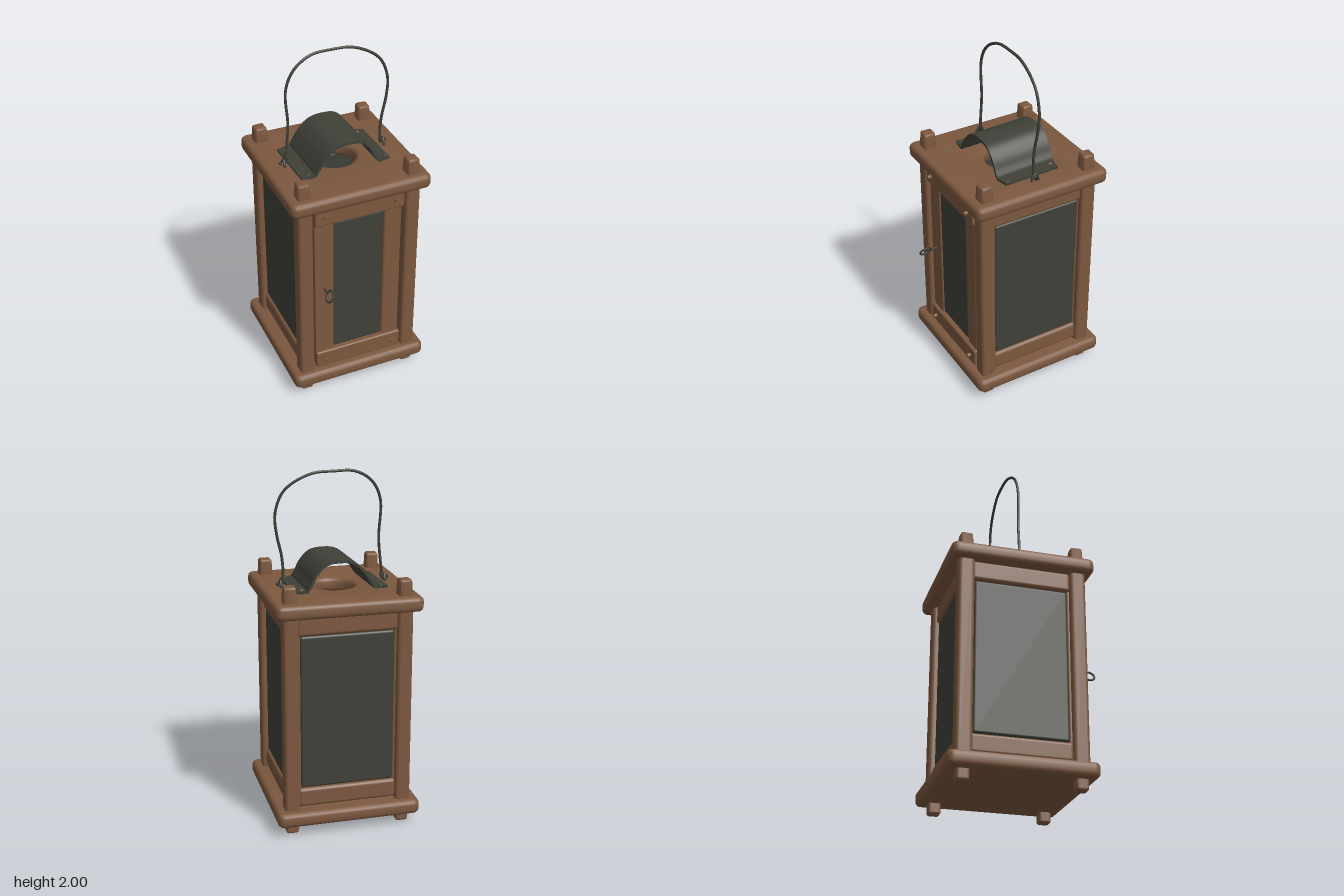
import * as THREE from 'three';
import { toCreasedNormals } from 'three/addons/utils/BufferGeometryUtils.js';
import { RoundedBoxGeometry } from 'three/addons/geometries/RoundedBoxGeometry.js';

const CZ = -0.027; // centre of the lantern body in z

export function createModel() {
  const root = new THREE.Group();
  const wood = new THREE.MeshStandardMaterial({ name: 'wood', color: 0x7c583f });
  const iron = new THREE.MeshStandardMaterial({ name: 'darkIron', color: 0x3f4038 });

  function add(name, geo, mat, x = 0, y = 0, z = 0, parent = root) {
    const m = new THREE.Mesh(geo, mat);
    m.name = name;
    m.position.set(x, y, z);
    parent.add(m);
    return m;
  }
  const rbox = (w, h, d, r = 0.015) => new RoundedBoxGeometry(w, h, d, 3, r);
  const wire = (pts, r, closed = false) => new THREE.TubeGeometry(
    new THREE.CatmullRomCurve3(pts.map(p => new THREE.Vector3(...p)), closed), 64, r, 8, closed);

  // Base board, and top board with a smoke hole
  function board(hole) {
    const b = 0.025, w = 0.413 - b, c = 0.015;
    const s = new THREE.Shape();
    s.moveTo(-w + c, -w);
    s.lineTo(w - c, -w); s.quadraticCurveTo(w, -w, w, -w + c);
    s.lineTo(w, w - c); s.quadraticCurveTo(w, w, w - c, w);
    s.lineTo(-w + c, w); s.quadraticCurveTo(-w, w, -w, w - c);
    s.lineTo(-w, -w + c); s.quadraticCurveTo(-w, -w, -w + c, -w);
    if (hole) s.holes.push(new THREE.Path().absarc(0, 0, 0.15, 0, Math.PI * 2, true));
    const g = new THREE.ExtrudeGeometry(s, {
      depth: 0.083 - 2 * b, bevelSize: b, bevelThickness: b, bevelSegments: 3, curveSegments: 16 });
    g.rotateX(-Math.PI / 2);
    return toCreasedNormals(g, 0.65);
  }
  add('baseBoard', board(false), wood, 0, 0.087, CZ);
  add('topBoard', board(true), wood, 0, 1.293, CZ);

  // Corner posts with pegs through both boards
  for (const x of [-0.322, 0.322]) for (const z of [0.298, -0.346]) {
    add('cornerPost', rbox(0.087, 1.16, 0.09, 0.02), wood, x, 0.71, z);
    const peg = rbox(0.08, 0.14, 0.08, 0.014);
    const p = peg.attributes.position;
    for (let i = 0; i < p.count; i++) if (p.getY(i) > 0) { // tapered tip
      p.setX(i, p.getX(i) * 0.86);
      p.setZ(i, p.getZ(i) * 0.86);
    }
    peg.computeVertexNormals();
    add('topPeg', toCreasedNormals(peg, 0.7), wood, x, 1.37, z).rotation.y = x * z * 0.5;
    add('footPeg', rbox(0.07, 0.12, 0.07, 0.014), wood, x, 0.06, z);
  }

  // Side and back walls: two rails and a rounded pane each
  function wall(name, x, z, turn) {
    const g = new THREE.Group();
    g.name = name;
    g.position.set(x, 0, z);
    g.rotation.y = turn;
    add('upperRail', rbox(0.57, 0.115, 0.06, 0.02), wood, 0, 1.214, 0, g);
    add('lowerRail', rbox(0.57, 0.11, 0.06, 0.02), wood, 0, 0.208, 0, g);
    for (const s of [-1, 1]) add('sideStrip', rbox(0.025, 0.94, 0.03, 0.01), wood, s * 0.277, 0.71, 0, g);
    add('pane', rbox(0.535, 0.89, 0.03, 0.014), iron, 0, 0.71, 0.005, g);
    root.add(g);
  }
  wall('leftWall', 0.315, CZ, Math.PI / 2);
  wall('rightWall', -0.315, CZ, -Math.PI / 2);
  wall('backWall', 0, -0.34, Math.PI);

  // Front door
  const door = new THREE.Group();
  door.name = 'door';
  root.add(door);
  add('doorStileRight', rbox(0.115, 1.08, 0.04, 0.008), wood, -0.21, 0.71, 0.305, door);
  add('doorStileLeft', rbox(0.11, 1.08, 0.04, 0.015), wood, 0.208, 0.71, 0.305, door);
  add('doorUpperRail', rbox(0.535, 0.11, 0.045, 0.01), wood, 0, 1.214, 0.322, door);
  add('doorLowerRail', rbox(0.535, 0.11, 0.045, 0.01), wood, 0, 0.208, 0.322, door);
  add('doorPane', rbox(0.305, 0.885, 0.03, 0.012), iron, -0.002, 0.708, 0.305, door);
  for (const x of [-0.21, 0.213]) for (const y of [0.205, 1.217]) {
    const pin = add('doorPin', new THREE.CylinderGeometry(0.011, 0.013, 0.03, 10), wood, x, y, 0.351, door);
    pin.rotation.x = Math.PI / 2;
  }
  // Ring pull
  const pull = new THREE.Group();
  pull.name = 'ringPull';
  pull.position.set(-0.21, 0.713, 0.4);
  pull.rotation.z = -0.5;
  add('ring', new THREE.TorusGeometry(0.034, 0.006, 8, 24), iron, 0, 0, 0, pull).rotation.y = Math.PI / 2;
  add('ringShank', new THREE.CylinderGeometry(0.006, 0.006, 0.06, 8), iron, 0, 0, -0.06, pull).rotation.x = Math.PI / 2;
  door.add(pull);

  // Bent sheet smoke cover with flanges
  const cover = new THREE.Group();
  cover.name = 'smokeCover';
  cover.position.set(-0.002, 0, CZ);
  cover.rotation.y = 0.03;
  root.add(cover);
  const arch = new THREE.CatmullRomCurve3([[-0.19, 1.36], [-0.165, 1.4], [-0.125, 1.46], [-0.065, 1.507],
    [0.015, 1.518], [0.09, 1.505], [0.145, 1.45], [0.17, 1.4], [0.195, 1.36]]
    .map(p => new THREE.Vector3(p[0], p[1], 0))).getPoints(32);
  const line = [new THREE.Vector3(-0.27, 1.356, 0), ...arch, new THREE.Vector3(0.267, 1.356, 0)];
  const outer = [], inner = [];
  line.forEach((p, i) => {
    const t = line[Math.min(i + 1, line.length - 1)].clone().sub(line[Math.max(i - 1, 0)]).normalize();
    outer.push(new THREE.Vector2(p.x - t.y * 0.007, p.y + t.x * 0.007));
    inner.unshift(new THREE.Vector2(p.x + t.y * 0.007, p.y - t.x * 0.007));
  });
  const sheet = new THREE.ExtrudeGeometry(new THREE.Shape([...outer, ...inner]),
    { depth: 0.364, bevelEnabled: false });
  sheet.translate(0, 0, -0.182);
  // Clip the flange corners
  const sp = sheet.attributes.position;
  for (let i = 0; i < sp.count; i++)
    if (Math.abs(sp.getX(i)) > 0.25) sp.setZ(i, sp.getZ(i) * 0.92);
  add('bentSheet', toCreasedNormals(sheet, 0.6), iron, 0, 0, 0, cover);
  [[-0.235, -0.145, iron], [0.222, -0.146, wood], [-0.222, 0.15, iron], [0.248, 0.148, iron]].forEach(([x, z, m]) =>
    add('coverNail', new THREE.SphereGeometry(0.011, 12, 8), m, x, 1.362, z, cover));

  // Wire carrying handle
  add('handle', wire([[-0.295, 1.36, -0.028], [-0.285, 1.44, -0.024], [-0.27, 1.6, -0.025], [-0.276, 1.82, -0.028],
    [-0.225, 1.925, -0.034], [-0.125, 1.985, -0.045], [0, 1.991, -0.052], [0.13, 1.98, -0.048],
    [0.275, 1.895, -0.038], [0.326, 1.77, -0.032], [0.318, 1.65, -0.028], [0.292, 1.53, -0.026],
    [0.285, 1.42, -0.028], [0.295, 1.36, -0.028]], 0.008), iron);
  for (const s of [-1, 1]) {
    // Hooked wire end and the staple that holds it
    add('handleHook', wire([[s * 0.28, 1.4, -0.026], [s * 0.292, 1.37, -0.028], [s * 0.312, 1.364, -0.03],
      [s * 0.326, 1.38, -0.032]], 0.008), iron);
    add('staple', wire([[s * 0.302, 1.33, -0.05], [s * 0.302, 1.37, -0.046], [s * 0.302, 1.39, -0.028],
      [s * 0.302, 1.37, -0.01], [s * 0.302, 1.33, -0.006]], 0.007), iron);
  }
  return root;
}
